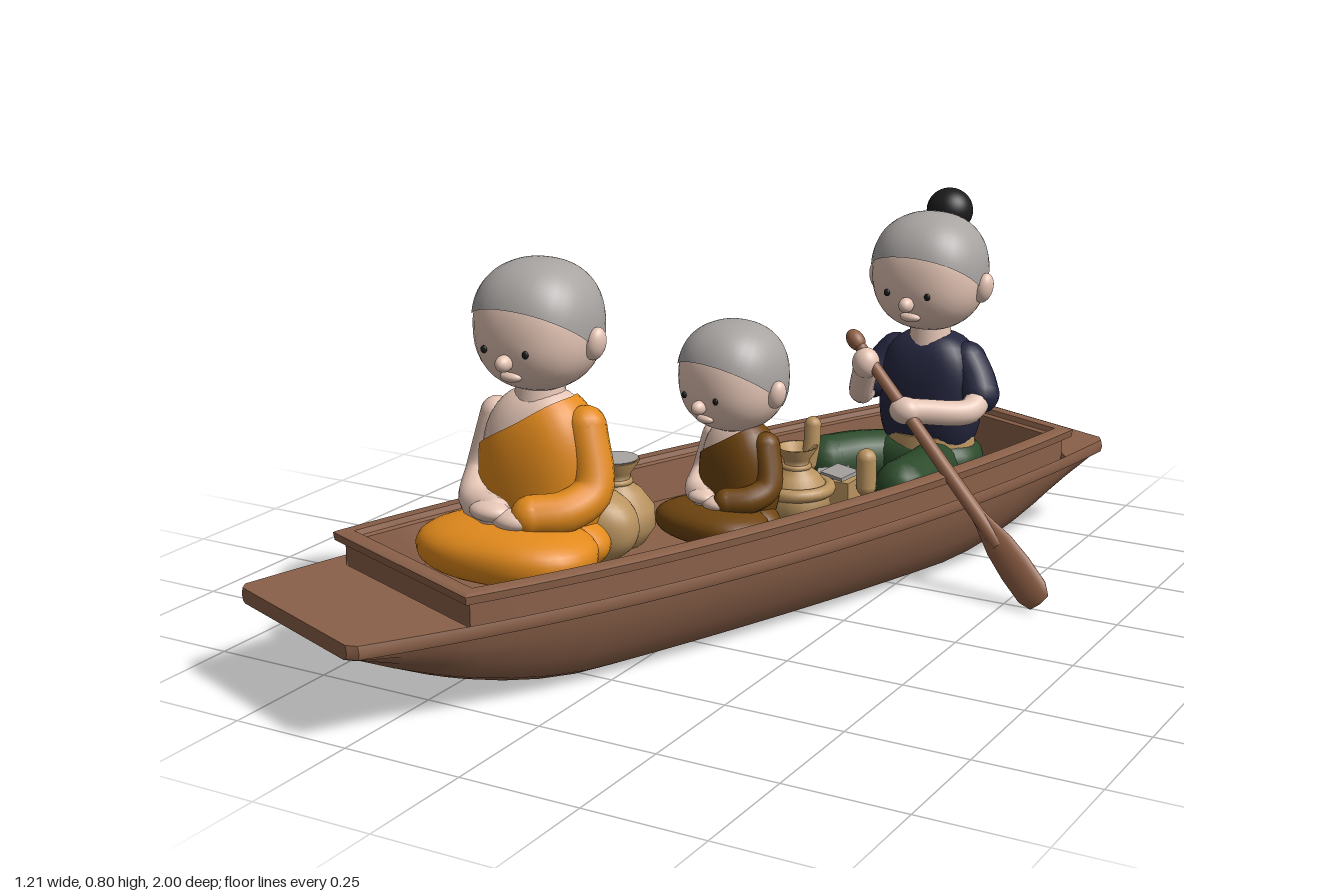
import * as THREE from 'three';
import { mergeVertices, toCreasedNormals } from 'three/addons/utils/BufferGeometryUtils.js';

const V = (p) => new THREE.Vector3(...p);
const mat = (name, color) => Object.assign(new THREE.MeshStandardMaterial({ color }), { name });

export function createModel() {
  const wood = mat('wood', 0x8a6049), oarWood = mat('oar wood', 0x8f5f45);
  const skin = mat('skin', 0xe6c6b6), hair = mat('shaved grey hair', 0xa8a4a2);
  const orange = mat('orange robe', 0xe28a1c), brown = mat('brown robe', 0x6e440f);
  const navy = mat('navy shirt', 0x25263f), green = mat('green trousers', 0x2b4a2a);
  const straw = mat('straw cloth', 0xb9935f), black = mat('black', 0x1b1b1d);

  const model = new THREE.Group();
  const group = (name, parent = model) => {
    const g = new THREE.Group();
    g.name = name;
    parent.add(g);
    return g;
  };
  const add = (parent, name, geo, m, pos = [0, 0, 0]) => {
    const mesh = new THREE.Mesh(geo, m);
    mesh.name = name;
    mesh.position.set(...pos);
    parent.add(mesh);
    return mesh;
  };

  // Rounded-box-like ellipsoid; theta < PI keeps only a cap, tilted by rx and rz
  const blob = (parent, name, m, pos, size, { p = 2, theta = Math.PI, rx = 0, rz = 0 } = {}) => {
    let geo = new THREE.SphereGeometry(1, 36, 24, 0, Math.PI * 2, 0, theta);
    geo.rotateX(rx).rotateZ(rz);
    const a = geo.attributes.position, v = new THREE.Vector3();
    for (let i = 0; i < a.count; i++) {
      v.fromBufferAttribute(a, i);
      const n = (Math.abs(v.x) ** p + Math.abs(v.y) ** p + Math.abs(v.z) ** p) ** (1 / p);
      a.setXYZ(i, ...v.divideScalar(n).multiply(V(size)).toArray());
    }
    geo.deleteAttribute('uv');
    geo.deleteAttribute('normal');
    geo = mergeVertices(geo, 1e-5);
    geo.computeVertexNormals();
    return add(parent, name, geo, m, pos);
  };

  // Round-ended tube through a few points
  const limb = (parent, name, m, pts, r) => {
    const g = group(name, parent);
    add(g, name + 'Tube', new THREE.TubeGeometry(new THREE.CatmullRomCurve3(pts.map(V)), 16, r, 14), m);
    for (const e of [pts[0], pts[pts.length - 1]]) add(g, name + 'End', new THREE.SphereGeometry(r, 14, 10), m, e);
  };

  // Skin a list of closed rings
  const loft = (rings) => {
    const n = rings[0].length, index = [];
    for (let i = 0; i < rings.length - 1; i++) for (let j = 0; j < n; j++) {
      const a = i * n + j, b = i * n + (j + 1) % n;
      index.push(a, b, a + n, b, b + n, a + n);
    }
    const geo = new THREE.BufferGeometry();
    geo.setAttribute('position', new THREE.Float32BufferAttribute(rings.flat(2), 3));
    geo.setIndex(index);
    return toCreasedNormals(geo, 0.6);
  };

  // ---- Boat: local z runs from stern to bow ----
  const boat = group('boat');
  boat.position.x = -0.05;
  boat.rotation.y = -0.373;
  const BACK = -0.87, FRONT = 0.78, FLOOR = 0.15;
  const halfWidth = (s) => 0.285 - 0.1 * Math.abs((s - 0.05) / 1.05) ** 2.2;
  const sheer = (s) => 0.185 + 0.015 * s * s;
  const keel = (s) => 0.17 * Math.max(0, (Math.abs(s) - 0.45) / 0.55) ** 1.8;

  const stations = [-1, -0.985, BACK + 0.005, BACK + 0.035, FRONT - 0.035, FRONT - 0.005, 0.985, 1];
  for (let s = -0.95; s < 0.96; s += 0.08) stations.push(s);
  stations.sort((a, b) => a - b);
  const hullRings = stations.map((s) => {
    const w = halfWidth(s) - (Math.abs(s) > 0.99 ? 0.015 : 0), k = keel(s), t = sheer(s), lip = t - 0.03, h = lip - k;
    const deck = s > BACK + 0.03 && s < FRONT - 0.03 ? 0.12 : t;
    const half = [[w * 0.35, k], [w * 0.62, k + h * 0.02], [w * 0.76, k + h * 0.14], [w * 0.87, k + h * 0.45],
      [w * 0.94, k + h * 0.8], [w * 0.96, lip], [w, lip + 0.003], [w + 0.004, t - 0.015], [w, t], [w - 0.05, deck]];
    return [...half, ...half.map(([x, y]) => [-x, y]).reverse()].map(([x, y]) => [x, y, s]);
  });
  const cap = (ring, s) => ring.map(() => [0, 0.185, s]);
  add(boat, 'hull', loft([cap(hullRings[0], -1), ...hullRings, cap(hullRings[0], 1)]), wood);

  // Raised rim, inner walls and floor, swept around the cockpit
  const rimProfile = [[0.022, 0.165], [0.022, 0.222], [0.006, 0.226], [0.004, 0.242], [0.012, 0.246],
    [0.036, 0.246], [0.04, 0.235], [0.05, 0.232], [0.06, FLOOR], [1, FLOOR]];
  const rimRings = rimProfile.map(([off, y]) => {
    const inset = Math.min(off, 0.06), side = [];
    for (let i = 0; i <= 24; i++) {
      const s = THREE.MathUtils.lerp(FRONT - inset, BACK + inset, i / 24);
      side.push([Math.max(0, halfWidth(s) - off), y + (y > 0.2 ? 0.012 * s * s : 0), s]);
    }
    return [...side, ...side.map(([x, yy, z]) => [-x, yy, z]).reverse()];
  });
  add(boat, 'cockpitRim', loft(rimRings), wood);

  // ---- Head with shaved cap, ears and face ----
  const head = (parent, pos, k, turn = 0) => {
    const g = group('head', parent);
    g.position.set(...pos);
    g.rotation.y = turn;
    g.scale.setScalar(k);
    blob(g, 'face', skin, [0, 0, 0], [0.124, 0.128, 0.122], { p: 2.3 });
    blob(g, 'hairCap', hair, [0, 0.001, 0], [0.127, 0.131, 0.125], { p: 2.3, theta: 1.76, rx: -0.576 });
    blob(g, 'nose', skin, [0, -0.052, 0.122], [0.016, 0.017, 0.021]);
    blob(g, 'mouth', skin, [0, -0.083, 0.1], [0.024, 0.011, 0.014]);
    for (const x of [-1, 1]) {
      blob(g, 'ear', skin, [x * 0.127, -0.025, -0.005], [0.02, 0.034, 0.024]).rotation.z = -x * 0.25;
      blob(g, 'eye', black, [x * 0.048, -0.03, 0.1195], [0.007, 0.008, 0.004]);
    }
    return g;
  };

  // ---- Seated monk: one shoulder bare, hands resting in the lap ----
  const monk = (name, robe, pos, bodyScale, headPos, headScale, turn) => {
    const g = group(name);
    const body = group('body', g);
    body.position.set(...pos);
    body.scale.setScalar(bodyScale);
    body.rotation.y = turn;
    blob(body, 'torso', skin, [0, 0.19, 0], [0.125, 0.18, 0.09], { p: 2.4 });
    blob(body, 'robe', robe, [0, 0.188, 0], [0.132, 0.186, 0.097], { p: 2.4, theta: 2.2, rz: -2.74 });
    blob(body, 'crossedLegs', robe, [0, 0.07, 0.13], [0.19, 0.06, 0.12], { p: 2.5 });
    blob(body, 'seatOfRobe', robe, [0, 0.06, 0.02], [0.16, 0.07, 0.1]);
    add(body, 'neck', new THREE.CylinderGeometry(0.045, 0.055, 0.08, 20), skin, [0, 0.365, 0]);
    limb(body, 'bareArm', skin, [[-0.105, 0.3, 0], [-0.132, 0.18, 0.02], [-0.1, 0.145, 0.09], [-0.02, 0.14, 0.14]], 0.034);
    limb(body, 'robedArm', robe, [[0.105, 0.3, 0], [0.135, 0.18, 0.03], [0.11, 0.15, 0.09], [0.06, 0.145, 0.13]], 0.042);
    blob(body, 'leftHand', skin, [0.03, 0.138, 0.15], [0.045, 0.022, 0.032]);
    blob(body, 'rightHand', skin, [-0.02, 0.15, 0.155], [0.045, 0.02, 0.03]);
    head(g, headPos, headScale, turn);
  };
  monk('elderMonk', orange, [-0.25, FLOOR, 0.35], 1, [-0.25, 0.643, 0.35], 1, 0);
  monk('youngMonk', brown, [0.005, FLOOR, 0.0], 0.68, [-0.01, 0.488, 0.0], 0.88, -0.2);

  // ---- Rowing woman ----
  const rower = group('rower');
  const rowerHead = head(rower, [0.21, 0.638, -0.48], 0.98);
  blob(rowerHead, 'hairBun', black, [0, 0.12, -0.1], [0.052, 0.05, 0.05]);
  add(rower, 'neck', new THREE.CylinderGeometry(0.04, 0.05, 0.08, 20), skin, [0.21, 0.505, -0.49]);
  blob(rower, 'shirt', navy, [0.21, 0.36, -0.5], [0.112, 0.145, 0.08], { p: 2.8 });
  add(rower, 'belt', new THREE.CylinderGeometry(0.1, 0.104, 0.035, 28), straw, [0.21, 0.262, -0.5]).scale.z = 0.82;
  blob(rower, 'hips', green, [0.2, 0.215, -0.5], [0.13, 0.065, 0.095], { p: 2.4 });
  limb(rower, 'rightLeg', green, [[0.15, 0.21, -0.5], [0.07, 0.215, -0.42], [0.03, 0.215, -0.36]], 0.058);
  limb(rower, 'leftLeg', green, [[0.24, 0.21, -0.5], [0.255, 0.215, -0.38], [0.25, 0.215, -0.27]], 0.058);
  limb(rower, 'rightSleeve', navy, [[0.125, 0.445, -0.5], [0.1, 0.41, -0.48], [0.085, 0.385, -0.46]], 0.042);
  limb(rower, 'leftSleeve', navy, [[0.295, 0.445, -0.5], [0.32, 0.41, -0.49], [0.338, 0.38, -0.475]], 0.042);
  limb(rower, 'rightArm', skin, [[0.085, 0.385, -0.46], [0.08, 0.365, -0.42], [0.115, 0.44, -0.365]], 0.027);
  limb(rower, 'leftArm', skin, [[0.338, 0.38, -0.475], [0.335, 0.355, -0.42], [0.24, 0.36, -0.345]], 0.028);
  blob(rower, 'rightHand', skin, [0.12, 0.45, -0.355], [0.03, 0.034, 0.03]);
  blob(rower, 'leftHand', skin, [0.225, 0.362, -0.335], [0.036, 0.03, 0.03]);

  // ---- Oar: shaft along local y, blade at the lower end ----
  const oar = group('oar');
  const top = V([0.09, 0.495, -0.365]), tip = V([0.585, 0.018, -0.24]), length = top.distanceTo(tip);
  oar.position.copy(tip);
  oar.quaternion.setFromUnitVectors(V([0, 1, 0]), top.clone().sub(tip).normalize());
  add(oar, 'shaft', new THREE.CylinderGeometry(0.013, 0.017, length - 0.15, 14), oarWood, [0, length / 2 + 0.075, 0]);
  blob(oar, 'grip', oarWood, [0, length, 0], [0.019, 0.026, 0.019]);
  const bladeProfile = [[0, 0], [0.026, 0.004], [0.038, 0.03], [0.039, 0.09], [0.034, 0.15], [0.02, 0.21], [0.014, 0.25]];
  add(oar, 'blade', new THREE.LatheGeometry(bladeProfile.map((p) => new THREE.Vector2(...p)), 24), oarWood).scale.z = 0.42;

  // ---- Offerings and bundles ----
  const cargo = group('cargo');
  const sackProfile = [[0, 0], [0.055, 0], [0.078, 0.035], [0.076, 0.075], [0.05, 0.11], [0.026, 0.128],
    [0.03, 0.145], [0.048, 0.172], [0.04, 0.172], [0.012, 0.14], [0, 0.138]];
  const sack = (name, pos, k) => {
    const pts = sackProfile.map((p) => new THREE.Vector2(...p));
    const mesh = add(cargo, name, new THREE.LatheGeometry(pts, 28), straw, pos);
    mesh.scale.setScalar(k);
    add(cargo, name + 'Tie', new THREE.TorusGeometry(0.028 * k, 0.006 * k, 8, 20).rotateX(Math.PI / 2), straw,
      [pos[0], pos[1] + 0.128 * k, pos[2]]);
  };
  sack('frontSack', [-0.19, FLOOR, 0.17], 1.03);
  add(cargo, 'sackLining', new THREE.CylinderGeometry(0.046, 0.03, 0.012, 24), hair, [-0.19, FLOOR + 0.175, 0.17]);
  sack('rearSack', [0.07, FLOOR, -0.13], 0.95);
  blob(cargo, 'bundleBehindMonk', straw, [-0.23, 0.225, 0.285], [0.155, 0.085, 0.075], { p: 2.3 });
  limb(cargo, 'clothRoll', straw, [[0.08, 0.27, -0.165], [0.085, 0.31, -0.17], [0.085, 0.352, -0.175]], 0.018);
  limb(cargo, 'smallRoll', straw, [[0.19, 0.22, -0.22], [0.19, 0.25, -0.22], [0.19, 0.28, -0.22]], 0.022);
  add(cargo, 'basketRim', new THREE.TorusGeometry(0.07, 0.014, 10, 28).rotateX(Math.PI / 2), straw, [0.07, 0.225, -0.13]);
  [[0.11, 0.235, -0.22, 0.3], [0.135, 0.245, -0.205, -0.4]].forEach(([x, y, z, r]) => {
    add(cargo, 'foldedPaper', new THREE.BoxGeometry(0.07, 0.008, 0.05), hair, [x, y, z]).rotation.set(0.2, r, 0.1);
  });
  add(cargo, 'paperBox', new THREE.BoxGeometry(0.09, 0.08, 0.06), straw, [0.12, 0.19, -0.215]);

  return model;
}
